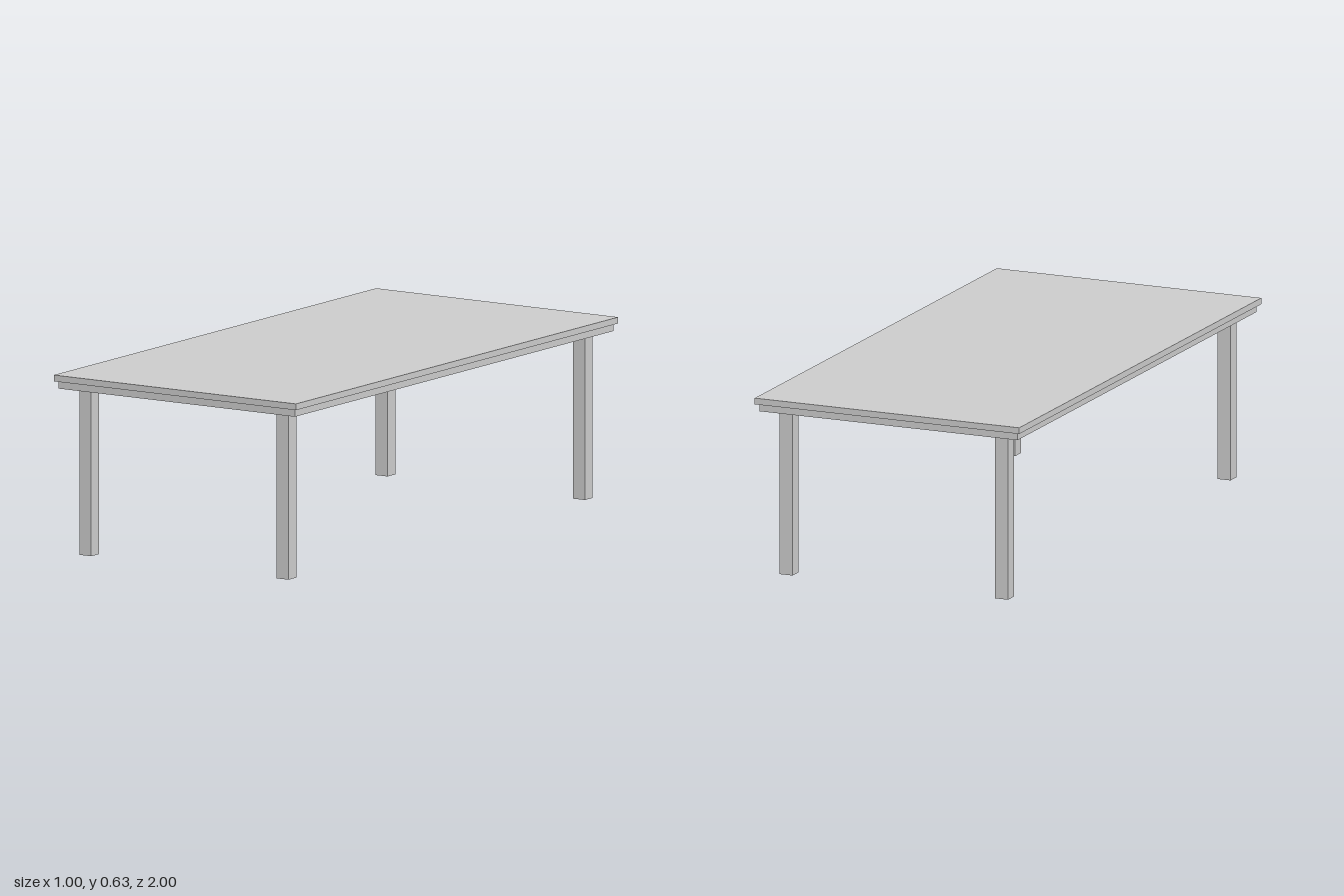
import * as THREE from 'three';

const LEG_HEIGHT = 0.582;
const APRON_TOP = 0.608;
const TABLE_TOP = 0.63;

export function createModel() {
  const table = new THREE.Group();
  table.name = 'table';
  const material = new THREE.MeshStandardMaterial({ color: 0xcccccc });

  // Box spanning bottom to top, centred at x, z
  function addBox(name, width, depth, bottom, top, x = 0, z = 0) {
    const mesh = new THREE.Mesh(new THREE.BoxGeometry(width, top - bottom, depth), material);
    mesh.name = name;
    mesh.position.set(x, (bottom + top) / 2, z);
    table.add(mesh);
  }

  // Top board and the slightly smaller board beneath it
  addBox('tableTop', 1, 2, APRON_TOP, TABLE_TOP);
  addBox('underBoard', 0.976, 1.976, LEG_HEIGHT, APRON_TOP);

  // Four square legs, mirrored in x and z
  for (const [end, sz] of [['front', 1], ['back', -1]]) {
    for (const [side, sx] of [['Left', 1], ['Right', -1]]) {
      addBox(`${end}${side}Leg`, 0.049, 0.049, 0, LEG_HEIGHT, sx * 0.4075, sz * 0.919);
    }
  }

  return table;
}
